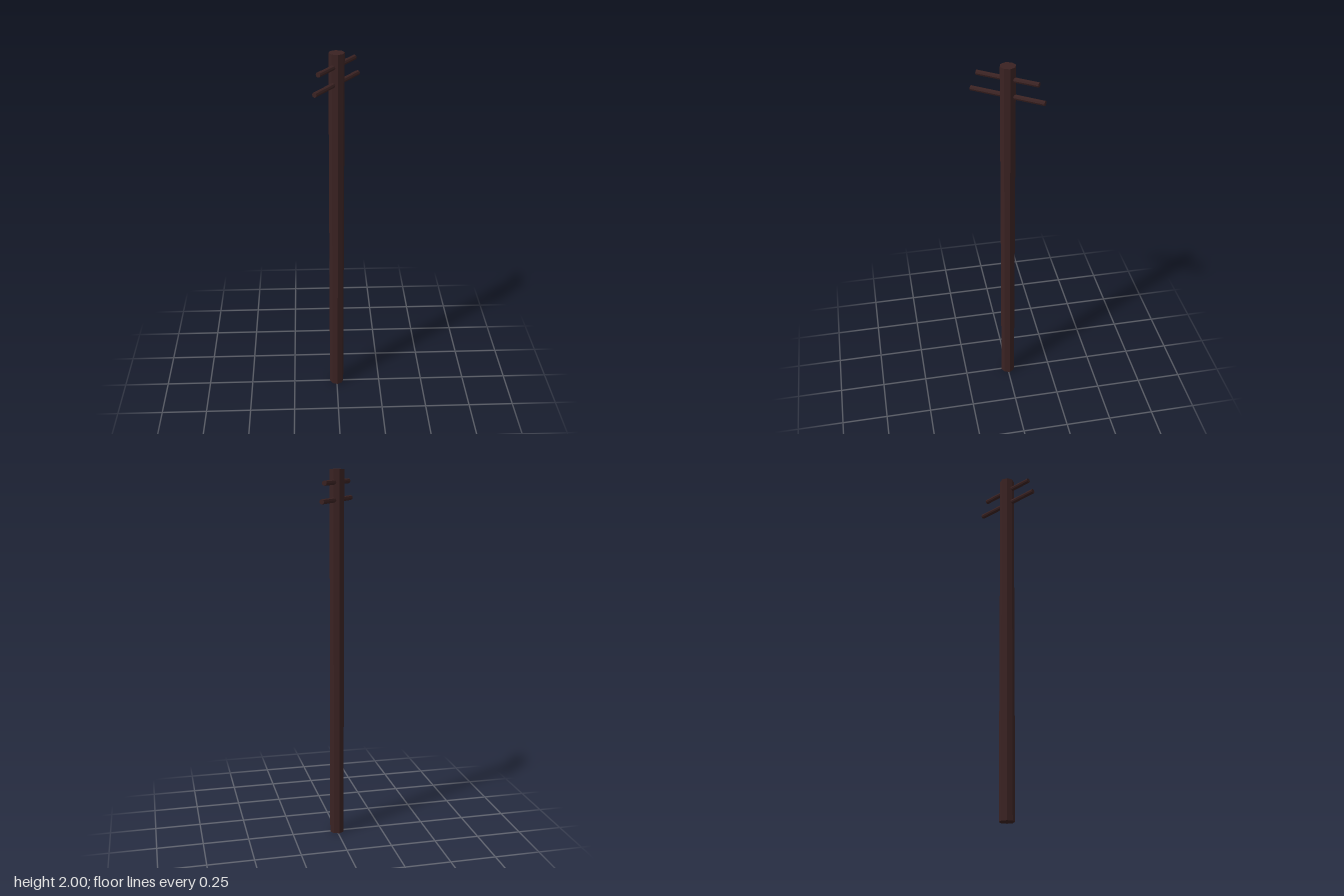
import * as THREE from 'three';

export function createModel() {
  const model = new THREE.Group();
  model.name = 'utilityPole';
  const wood = new THREE.MeshStandardMaterial({ color: 0x3a2222, flatShading: true });

  // Eight-sided rod used for the post and the crossarms
  const rod = (name, radius, length, parent) => {
    const mesh = new THREE.Mesh(new THREE.CylinderGeometry(radius, radius, length, 8), wood);
    mesh.name = name;
    parent.add(mesh);
    return mesh;
  };

  // Upright post
  const post = rod('post', 0.04, 2, model);
  post.position.set(-0.001, 1, -0.002);
  post.rotation.y = THREE.MathUtils.degToRad(7);

  // Two crossarms passing through the post, turned together
  const arms = new THREE.Group();
  arms.name = 'crossarms';
  arms.rotation.y = THREE.MathUtils.degToRad(55);
  model.add(arms);
  for (const [name, length, y] of [['lowerCrossarm', 0.392, 1.846], ['upperCrossarm', 0.326, 1.935]]) {
    const arm = rod(name, 0.013, length, arms);
    arm.rotation.z = Math.PI / 2;
    arm.position.y = y;
  }
  return model;
}
